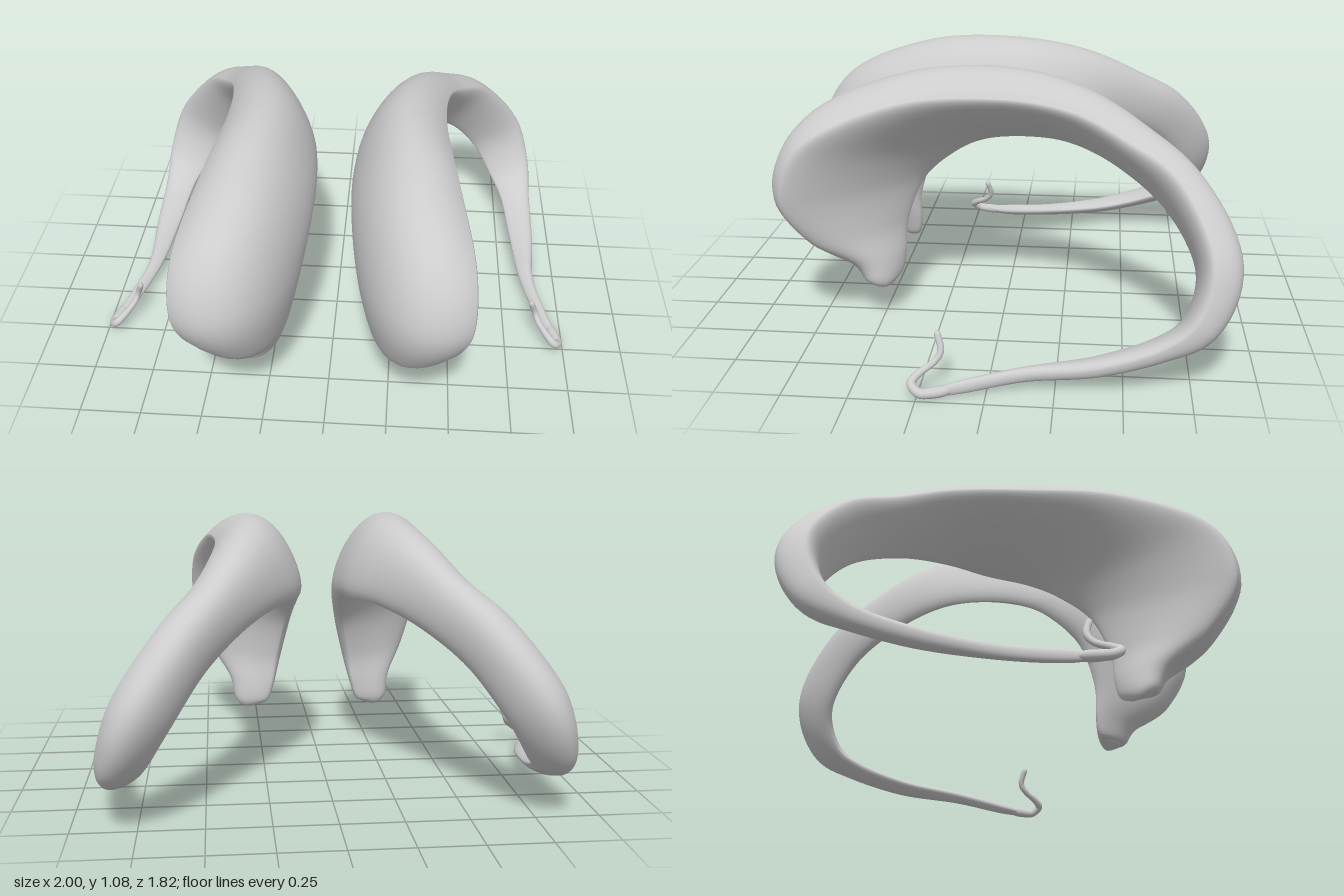
import * as THREE from 'three';

const grey = new THREE.MeshStandardMaterial({ color: 0xcccccc });
grey.name = 'hornGrey';

// Horn stations: inner edge xyz, outer edge xyz, bulge of outer face, bulge of inner face
const stations = [
  [.25, .155, .475, .32, .15, .52, .03, .03],
  [.215, .18, .435, .355, .175, .55, .055, .045],
  [.19, .26, .42, .375, .26, .60, .08, .05],
  [.165, .40, .41, .465, .39, .76, .145, .055],
  [.13, .57, .34, .55, .60, .855, .205, .05],
  [.10, .68, .21, .55, .83, .74, .21, .045],
  [.09, .735, .08, .485, .975, .39, .185, .04],
  [.115, .755, -.10, .445, .995, .02, .175, .03],
  [.20, .755, -.28, .465, .96, -.27, .145, .03],
  [.335, .70, -.47, .535, .87, -.49, .125, .03],
  [.49, .58, -.655, .655, .76, -.685, .115, .03],
  [.62, .40, -.765, .82, .53, -.81, .12, .03],
  [.71, .25, -.73, .89, .32, -.775, .095, .03],
  [.765, .18, -.62, .90, .195, -.64, .055, .025],
  [.80, .11, -.40, .907, .11, -.40, .04, .025],
  [.835, .07, -.14, .897, .065, -.14, .028, .025],
  [.90, .036, .08, .947, .036, .08, .024, .024],
  [.959, .024, .20, .983, .024, .20, .012, .012],
];

const hookPath = [
  [.944, .03, .12], [.972, .026, .20], [.979, .03, .24], [.957, .055, .27],
  [.925, .08, .245], [.89, .11, .195], [.872, .15, .172], [.848, .218, .19],
];

const curve = (points) => new THREE.CatmullRomCurve3(
  points.map((p) => new THREE.Vector3(...p)), false, 'catmullrom', 0.5);

// Skin a list of closed rings, cap both ends, and mirror when side is -1
function skin(rings, side) {
  const n = rings[0].length;
  const positions = [];
  const index = [];
  const push = (p) => positions.push(p.x * side, p.y, p.z);
  const tri = (a, b, c) => (side > 0 ? index.push(a, b, c) : index.push(a, c, b));
  rings.forEach((ring) => ring.forEach(push));
  for (let j = 0; j < rings.length - 1; j++) {
    for (let i = 0; i < n; i++) {
      const k = (i + 1) % n;
      const a = j * n + i, b = j * n + k, c = a + n, d = b + n;
      tri(a, c, b);
      tri(b, c, d);
    }
  }
  const last = (rings.length - 1) * n;
  [0, last].forEach((start, end) => {
    const centre = new THREE.Vector3();
    rings[end ? rings.length - 1 : 0].forEach((p) => centre.addScaledVector(p, 1 / n));
    const id = positions.length / 3;
    push(centre);
    for (let i = 0; i < n; i++) {
      const a = start + i, b = start + (i + 1) % n;
      if (end) tri(id, b, a);
      else tri(id, a, b);
    }
  });
  const geometry = new THREE.BufferGeometry();
  geometry.setAttribute('position', new THREE.Float32BufferAttribute(positions, 3));
  geometry.setIndex(index);
  geometry.computeVertexNormals();
  return geometry;
}

// Broad curled blade: convex outer face, flatter inner face, thickest near the outer edge
function hornRings(steps = 144, sides = 36) {
  const inner = curve(stations.map((s) => s.slice(0, 3)));
  const outer = curve(stations.map((s) => s.slice(3, 6)));
  const bulge = curve(stations.map((s) => [s[6], s[7], 0]));
  const middle = (t) => inner.getPoint(t).add(outer.getPoint(t)).multiplyScalar(0.5);
  const rings = [];
  for (let j = 0; j <= steps; j++) {
    const t = j / steps;
    const centre = middle(t);
    const half = outer.getPoint(t).sub(centre);
    const tangent = middle(Math.min(1, t + 0.02)).sub(middle(Math.max(0, t - 0.02)));
    const normal = half.clone().cross(tangent).normalize();
    const b = bulge.getPoint(t);
    const ring = [];
    for (let i = 0; i < sides; i++) {
      const a = (i / sides) * Math.PI * 2;
      const c = Math.cos(a), s = Math.sin(a);
      ring.push(centre.clone().addScaledVector(half, c)
        .addScaledVector(normal, s * (1 + 0.35 * c) * (s > 0 ? b.x : b.y)));
    }
    rings.push(ring);
  }
  return rings;
}

// Thin tapered hook with rounded ends, growing out of the horn tip
function hookRings(steps = 70, sides = 14) {
  const path = curve(hookPath);
  const { normals, binormals } = path.computeFrenetFrames(steps);
  const rings = [];
  for (let j = 0; j <= steps; j++) {
    const t = j / steps;
    const nearEnd = Math.max(0, 0.15 - t, (t - 0.95) * 3) / 0.15;
    const round = Math.sqrt(Math.max(0.02, 1 - nearEnd ** 2));
    const r = (0.024 - 0.011 * Math.min(1, t * 1.6)) * round;
    const ring = [];
    for (let i = 0; i < sides; i++) {
      const a = (i / sides) * Math.PI * 2;
      ring.push(path.getPointAt(t).addScaledVector(normals[j], r * Math.cos(a))
        .addScaledVector(binormals[j], -r * Math.sin(a)));
    }
    rings.push(ring);
  }
  return rings;
}

export function createModel() {
  const model = new THREE.Group();
  model.name = 'hornPair';
  const parts = { Horn: hornRings(), Hook: hookRings() };
  for (const side of [1, -1]) {
    for (const [part, rings] of Object.entries(parts)) {
      const mesh = new THREE.Mesh(skin(rings, side), grey);
      mesh.name = (side > 0 ? 'left' : 'right') + part;
      model.add(mesh);
    }
  }
  return model;
}
